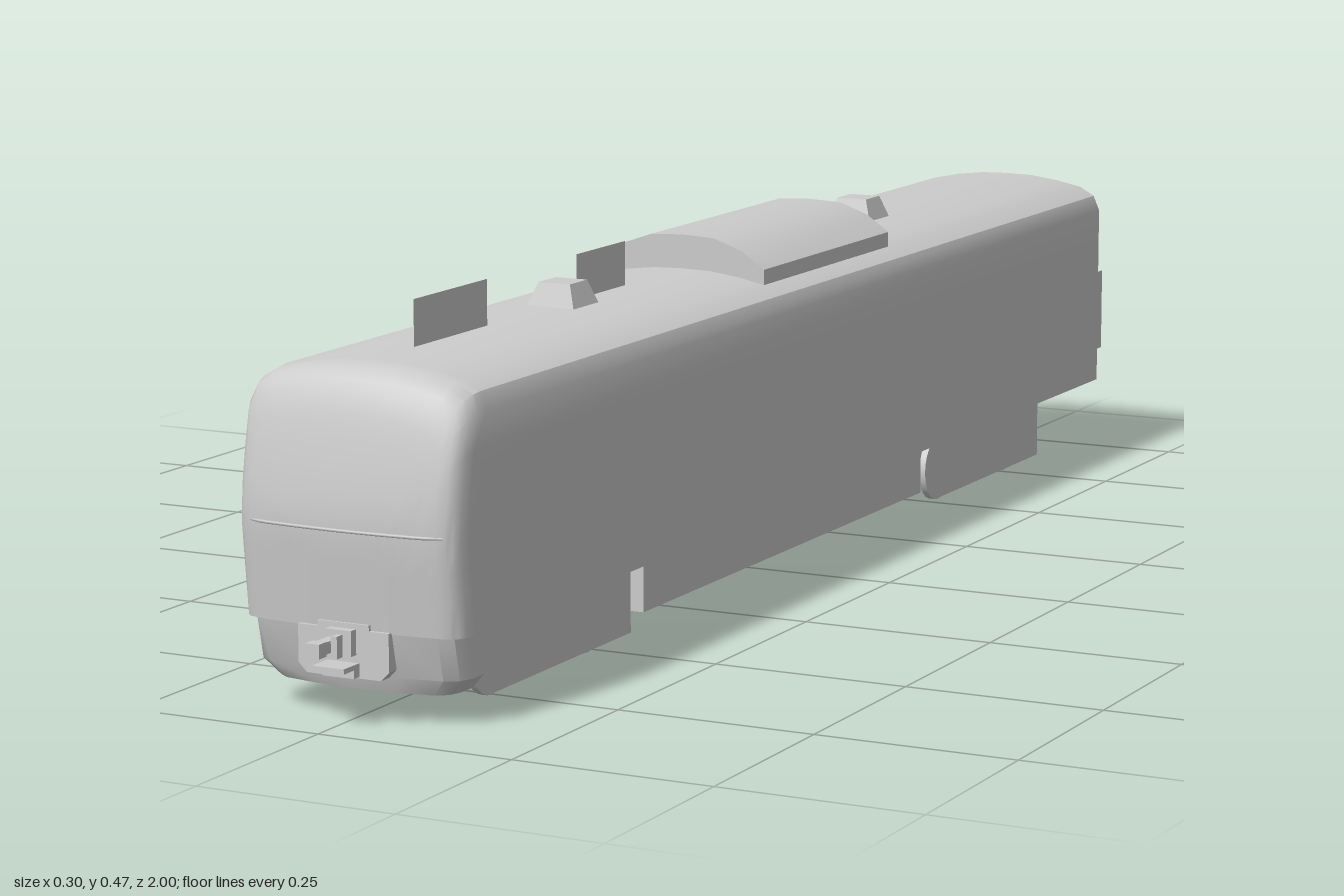
import * as THREE from 'three';
import { toCreasedNormals } from 'three/addons/utils/BufferGeometryUtils.js';

const grey = new THREE.MeshStandardMaterial({ color: 0xcccccc });
const flat = new THREE.MeshStandardMaterial({ color: 0xcccccc, flatShading: true });
const thin = new THREE.MeshStandardMaterial({ color: 0xcccccc, side: THREE.DoubleSide });

const FLOOR = 0.108, BACK = -0.962;

// Half of the body section, from the floor up to the roof centre
const HALF = [
  [0.148, FLOOR], [0.148, 0.15], [0.148, 0.19], [0.148, 0.225], [0.148, 0.27], [0.148, 0.32],
  [0.148, 0.362], [0.139, 0.383], [0.118, 0.395], [0.08, 0.403], [0.04, 0.408], [0, 0.409],
];
const mirrored = (half) => [...half, ...half.slice(0, -1).reverse().map(([x, y]) => [-x, y])];

// Depth of the nose face at a point
function noseZ(x, y) {
  const lean = y > 0.225 ? 0.036 * ((y - 0.225) / 0.184) ** 1.5 : 0.012 * (0.225 - y) / 0.117;
  return 0.951 - lean - 0.012 * (x / 0.148) ** 2;
}

// Surface through equally long rows of points
function loft(rows, crease = 0.6) {
  const n = rows[0].length, index = [];
  for (let k = 0; k < rows.length - 1; k++) {
    for (let i = 0; i < n - 1; i++) {
      const a = k * n + i, b = a + 1, d = a + n, c = d + 1;
      index.push(a, b, d, b, c, d);
    }
  }
  const geo = new THREE.BufferGeometry();
  geo.setAttribute('position', new THREE.Float32BufferAttribute(rows.flat(2), 3));
  geo.setIndex(index);
  return toCreasedNormals(geo, crease);
}

function polygon(points) {
  return new THREE.Shape(points.map(([x, y]) => new THREE.Vector2(x, y)));
}

export function createModel() {
  const model = new THREE.Group();
  function add(name, geo, x = 0, y = 0, z = 0, mat = grey, parent = model) {
    const mesh = new THREE.Mesh(geo, mat);
    mesh.name = name;
    mesh.position.set(x, y, z);
    parent.add(mesh);
    return mesh;
  }
  // Upright sheet lying along the length of the model
  function sheet(name, x, y0, y1, z0, z1) {
    add(name, new THREE.PlaneGeometry(z1 - z0, y1 - y0), x, (y0 + y1) / 2, (z0 + z1) / 2, thin)
      .rotation.y = Math.PI / 2;
  }

  // Body shell: straight sides, a rounded rim, then shrinking rings over the nose
  const section = mirrored(HALF);
  const loop = [...section, section[0]];
  const rows = [loop.map(([x, y]) => [x, y, BACK])];
  const rim = [[1, -0.045], [0.993, -0.03], [0.975, -0.016], [0.945, -0.007], [0.9, -0.002]];
  for (let s = 0.82; s > 0; s -= 0.09) rim.push([s, 0]);
  rim.push([0.001, 0]);
  for (const [s, dz] of rim) {
    rows.push(loop.map(([x, y]) => {
      const px = x * s, py = FLOOR + (y - FLOOR) * s;
      return [px, py, noseZ(px, py) + dz];
    }));
  }
  add('bodyShell', loft(rows));
  add('rearWall', new THREE.ShapeGeometry(polygon(section)), 0, 0, BACK).rotation.y = Math.PI;

  // Seam below the windshield
  const seam = [];
  for (let i = -6; i <= 6; i++) {
    const x = i * 0.0215;
    seam.push(new THREE.Vector3(x, 0.225, noseZ(x, 0.225) - (Math.abs(i) === 6 ? 0.005 : 0)));
  }
  add('windshieldSill', new THREE.TubeGeometry(new THREE.CatmullRomCurve3(seam), 24, 0.002, 6));

  // Front skirt wrapping round the nose, open behind
  const plan = mirrored([[0.138, 0.875], [0.138, 0.9], [0.131, 0.918], [0.115, 0.928], [0.06, 0.936], [0, 0.939]]);
  const levels = [[0.035, 0.855, -0.02], [0.055, 1, -0.012], [FLOOR, 1, 0]];
  add('frontSkirt', loft(levels.map(([y, s, dz]) => plan.map(([x, z]) => [x * s, y, z + dz])).reverse()),
    0, 0, 0, thin);

  // Coupler panel and coupler
  const panel = polygon([
    [-0.06, 0.065], [-0.049, 0.054], [0.049, 0.054], [0.06, 0.065], [0.06, 0.11],
    [0.034, 0.11], [0.034, 0.117], [-0.034, 0.117], [-0.034, 0.11], [-0.06, 0.11],
  ]);
  add('couplerPanel', new THREE.ExtrudeGeometry(panel, { depth: 0.022, bevelEnabled: false }), 0, 0, 0.921);
  const coupler = new THREE.Group();
  coupler.name = 'coupler';
  model.add(coupler);
  const box = (name, w, h, d, x, y, z) => add(name, new THREE.BoxGeometry(w, h, d), x, y, z, grey, coupler);
  box('couplerMount', 0.034, 0.03, 0.012, 0, 0.096, 0.948);
  box('couplerShank', 0.014, 0.014, 0.045, -0.006, 0.095, 0.965);
  box('couplerHead', 0.018, 0.017, 0.016, -0.006, 0.095, 0.992);
  box('couplerJaw', 0.008, 0.026, 0.012, 0.009, 0.096, 0.972);
  box('couplerStep', 0.042, 0.006, 0.04, 0, 0.069, 0.957);
  box('couplerStepBase', 0.042, 0.012, 0.02, 0, 0.062, 0.945);

  // Curved roof hood
  const hood = polygon(mirrored([
    [0.117, 0.393], [0.117, 0.415], [0.085, 0.437], [0.045, 0.451], [0, 0.453],
  ]));
  add('roofHood', toCreasedNormals(
    new THREE.ExtrudeGeometry(hood, { depth: 0.38, bevelEnabled: false }), 0.5), 0, 0, -0.28);

  // Tapered roof vents
  for (const z of [0.42, -0.435]) {
    add('roofVent', new THREE.CylinderGeometry(0.031, 0.047, 0.032, 4), 0, 0.421, z, flat)
      .rotation.y = Math.PI / 4;
  }

  // Roof fins
  sheet('roofFin', 0, 0.405, 0.465, 0.607, 0.778);
  sheet('roofFin', 0, 0.405, 0.465, 0.257, 0.385);

  // Rear gangway and handrail sheets
  add('gangway', new THREE.BoxGeometry(0.124, 0.215, 0.042), 0, 0.248, -0.979);
  for (const side of [-1, 1]) sheet('rearHandrail', side * 0.143, 0.152, 0.268, -0.99, BACK);

  // Underfloor tank
  add('underfloorTank', new THREE.BoxGeometry(0.21, 0.08, 0.83), 0, 0.07, -0.005);

  // Bogies: side frames, wheels and pivot
  for (const zc of [0.635, -0.643]) {
    for (const side of [-1, 1]) {
      sheet('bogieFrame', side * 0.112, 0.015, 0.112, zc - 0.178, zc + 0.178);
      for (const dz of [-0.117, 0.117]) {
        add('wheel', new THREE.CylinderGeometry(0.045, 0.045, 0.009, 24), side * 0.08, 0.045, zc + dz)
          .rotation.z = Math.PI / 2;
      }
    }
    add('bogiePivot', new THREE.CylinderGeometry(0.04, 0.04, 0.015, 24), 0, 0.102, zc);
  }
  return model;
}
